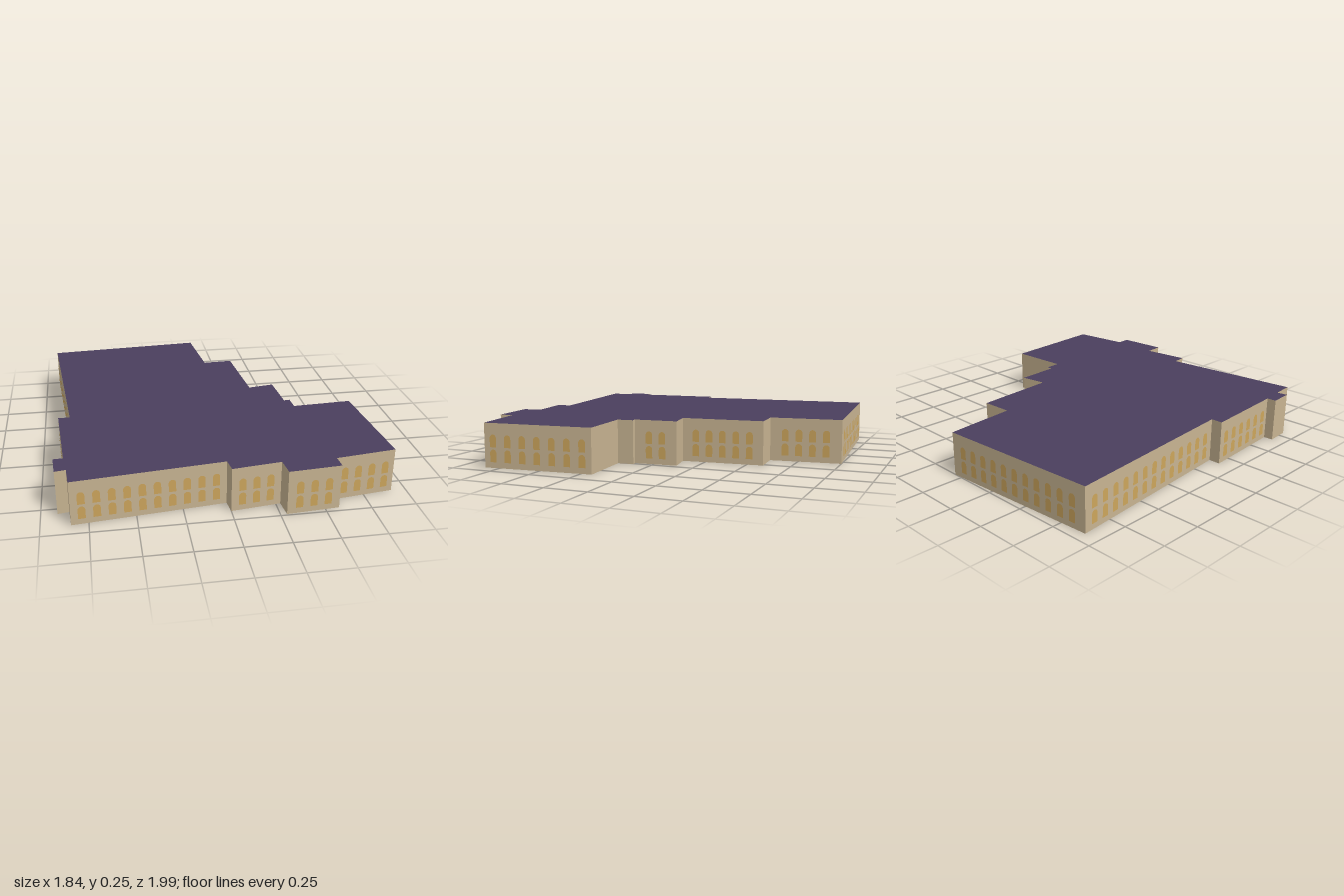
import * as THREE from 'three';

const HEIGHT = 0.255;

// Footprint corners, clockwise from above: x, z, windows per storey on the wall that starts here, spacing
const CORNERS = [
  [-0.91, -0.935, 11, 0.08], [0.055, -1, 4, 0.08], [0.095, -0.585, 0, 0], [0.275, -0.595, 5, 0.08],
  [0.31, -0.115, 0, 0], [0.465, -0.14, 2, 0.08], [0.48, 0.115, 0, 0], [0.515, 0.11, 0, 0],
  [0.52, 0.205, 0, 0], [0.872, 0.185, 7, 0.091], [0.917, 0.84, 4, 0.08], [0.573, 0.885, 0, 0],
  [0.577, 0.968, 3, 0.08], [0.285, 0.99, 0, 0], [0.275, 0.88, 3, 0.078], [0, 0.915, 0, 0],
  [-0.01, 0.83, 10, 0.08], [-0.842, 0.92, 0, 0], [-0.85, 0.79, 0, 0], [-0.912, 0.8, 0, 0],
  [-0.92, 0.663, 0, 0], [-0.865, 0.66, 6, 0.08], [-0.895, 0.155, 0, 0], [-0.828, 0.155, 13, 0.08],
];

// Window with a semicircular-topped outline, standing on its own sill line
function archedWindow(width, height) {
  const r = width / 2;
  const shape = new THREE.Shape();
  shape.moveTo(-r, 0);
  shape.lineTo(r, 0);
  shape.lineTo(r, height - r);
  shape.absarc(0, height - r, r, 0, Math.PI, false);
  shape.closePath();
  return new THREE.ShapeGeometry(shape, 6);
}

export function createModel() {
  const group = new THREE.Group();
  group.name = 'building';
  const stone = new THREE.MeshStandardMaterial({ color: 0xc8b492, side: THREE.DoubleSide });
  stone.name = 'beige stone';
  const glass = new THREE.MeshStandardMaterial({ color: 0xcca55c });
  glass.name = 'amber glass';
  const slate = new THREE.MeshStandardMaterial({ color: 0x4a3f5e, side: THREE.DoubleSide });
  slate.name = 'purple roofing';

  // Flat roof over the whole footprint
  const outline = new THREE.Shape(CORNERS.map(([x, z]) => new THREE.Vector2(x, -z)));
  const roof = new THREE.Mesh(new THREE.ShapeGeometry(outline).rotateX(-Math.PI / 2), slate);
  roof.name = 'roof';
  roof.position.y = HEIGHT;
  group.add(roof);

  // One facade per footprint edge, its local +z facing outward
  const windowGeometry = archedWindow(0.04, 0.072);
  CORNERS.forEach(([x, z, count, spacing], i) => {
    const [x2, z2] = CORNERS[(i + 1) % CORNERS.length];
    const dx = x2 - x, dz = z2 - z;
    const facade = new THREE.Group();
    facade.name = 'facade';
    facade.position.set((x + x2) / 2, 0, (z + z2) / 2);
    facade.rotation.y = Math.atan2(dz, -dx);
    const wall = new THREE.Mesh(new THREE.PlaneGeometry(Math.hypot(dx, dz), HEIGHT), stone);
    wall.name = 'wall';
    wall.position.y = HEIGHT / 2;
    facade.add(wall);

    // Two storeys of evenly spaced windows
    for (const sill of [0.033, 0.118]) {
      for (let k = 0; k < count; k++) {
        const pane = new THREE.Mesh(windowGeometry, glass);
        pane.name = 'archedWindow';
        pane.position.set((k - (count - 1) / 2) * spacing, sill, 0.003);
        facade.add(pane);
      }
    }
    group.add(facade);
  });
  return group;
}
